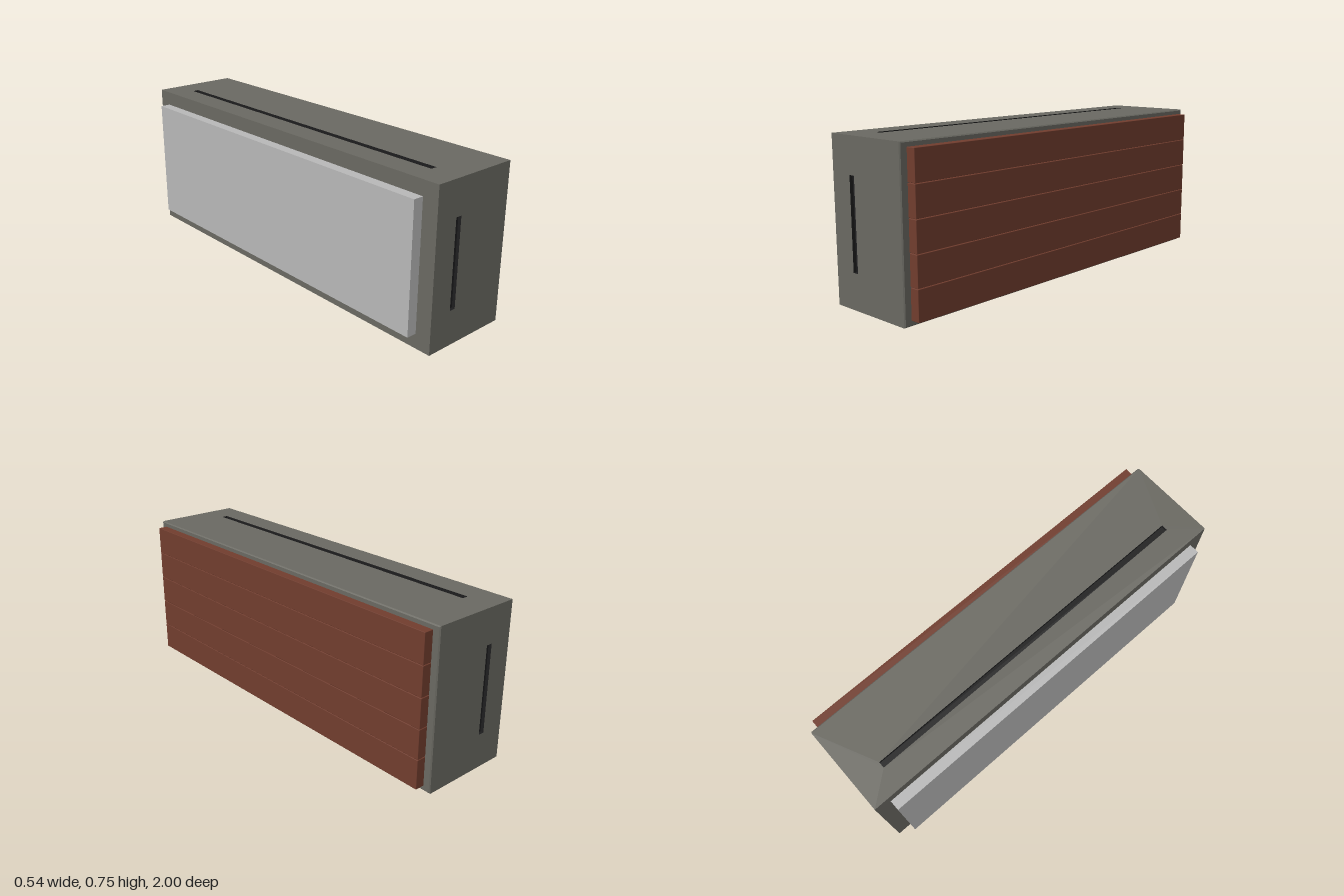
import * as THREE from 'three';
import { RoundedBoxGeometry } from 'three/addons/geometries/RoundedBoxGeometry.js';

const X0 = -0.222, X1 = 0.222, HEIGHT = 0.75, LENGTH = 2;
const SLOT_X = -0.091, SLOT_W = 0.031, SLOT_DEPTH = 0.015;

function material(name, color) {
  const m = new THREE.MeshStandardMaterial({ color });
  m.name = name;
  return m;
}

function mesh(name, geometry, mat, x = 0, y = 0, z = 0) {
  const m = new THREE.Mesh(geometry, mat);
  m.name = name;
  m.position.set(x, y, z);
  return m;
}

// Counter-clockwise rectangle given by its corners
function trace(path, x0, y0, x1, y1) {
  path.moveTo(x0, y0);
  path.lineTo(x1, y0);
  path.lineTo(x1, y1);
  path.lineTo(x0, y1);
  path.closePath();
  return path;
}

// Box turned inside out, with its +z lid (indices 24 to 29) left off
function openWell(width, length, depth) {
  const well = new THREE.BoxGeometry(width, length, depth);
  well.setIndex([...well.index.array].filter((_, i) => i < 24 || i > 29));
  well.clearGroups();
  well.scale(-1, 1, 1);
  well.computeVertexNormals();
  return well;
}

// Outer wall with a slot cut through it and a dark well behind the slot
function slottedWall(name, height, slotLength, offset, angle, concrete, dark) {
  const wall = new THREE.Group();
  wall.name = name;
  const shape = trace(new THREE.Shape(), X0, -height / 2, X1, height / 2);
  shape.holes.push(trace(new THREE.Path(),
    SLOT_X - SLOT_W / 2, -slotLength / 2, SLOT_X + SLOT_W / 2, slotLength / 2));
  wall.add(mesh('wallFace', new THREE.ShapeGeometry(shape), concrete, 0, 0, offset));
  wall.add(mesh('slotWell', openWell(SLOT_W, slotLength, SLOT_DEPTH), dark, SLOT_X, 0, offset - SLOT_DEPTH / 2));
  wall.rotation.x = angle;
  wall.position.y = HEIGHT / 2;
  return wall;
}

export function createModel() {
  const concrete = material('concrete grey', 0x6a6962);
  const dark = material('slot black', 0x1d1d1e);
  const wood = material('red brown wood', 0x713d2e);
  const panel = material('light grey panel', 0xb8b8b8);

  const model = new THREE.Group();
  model.name = 'wallSection';

  // Core block: four slotted walls around the x axis
  const body = new THREE.Group();
  body.name = 'body';
  ['frontWall', 'topWall', 'backWall', 'bottomWall'].forEach((name, i) => {
    const end = i % 2 === 0;
    body.add(slottedWall(name, end ? HEIGHT : LENGTH, end ? 0.418 : 1.72,
      end ? LENGTH / 2 : HEIGHT / 2, -i * Math.PI / 2, concrete, dark));
  });

  // Plain face behind the light panel
  const leftFace = mesh('panelSideFace', new THREE.PlaneGeometry(LENGTH, HEIGHT), concrete, X0, HEIGHT / 2, 0);
  leftFace.rotation.y = -Math.PI / 2;
  body.add(leftFace);

  // Chamfered face behind the planks: a shallow four-sided frustum
  const chamfer = 0.005;
  const capGeometry = new THREE.CylinderGeometry(Math.SQRT1_2, Math.SQRT1_2, chamfer, 4, 1).toNonIndexed();
  capGeometry.rotateY(Math.PI / 4);
  capGeometry.rotateZ(-Math.PI / 2);
  const corners = capGeometry.attributes.position;
  for (let i = 0; i < corners.count; i++) {
    const inset = corners.getX(i) > 0 ? 2 * chamfer : 0;
    corners.setY(i, corners.getY(i) * (HEIGHT - inset));
    corners.setZ(i, corners.getZ(i) * (LENGTH - inset));
  }
  capGeometry.computeVertexNormals();
  body.add(mesh('plankSideFace', capGeometry, concrete, X1 + chamfer / 2, HEIGHT / 2, 0));
  model.add(body);

  // Horizontal cladding planks
  const planks = new THREE.Group();
  planks.name = 'planks';
  const plankGeometry = new RoundedBoxGeometry(0.047, 0.1385, 1.93, 1, 0.002);
  for (let i = 0; i < 5; i++) {
    planks.add(mesh('plank' + (i + 1), plankGeometry, wood, 0.2485, 0.0935 + i * 0.141, 0));
  }
  model.add(planks);

  // Raised light panel on the opposite side
  model.add(mesh('lightPanel', new THREE.BoxGeometry(0.051, 0.61, 1.85), panel, -0.2465, 0.375, -0.003));

  return model;
}
